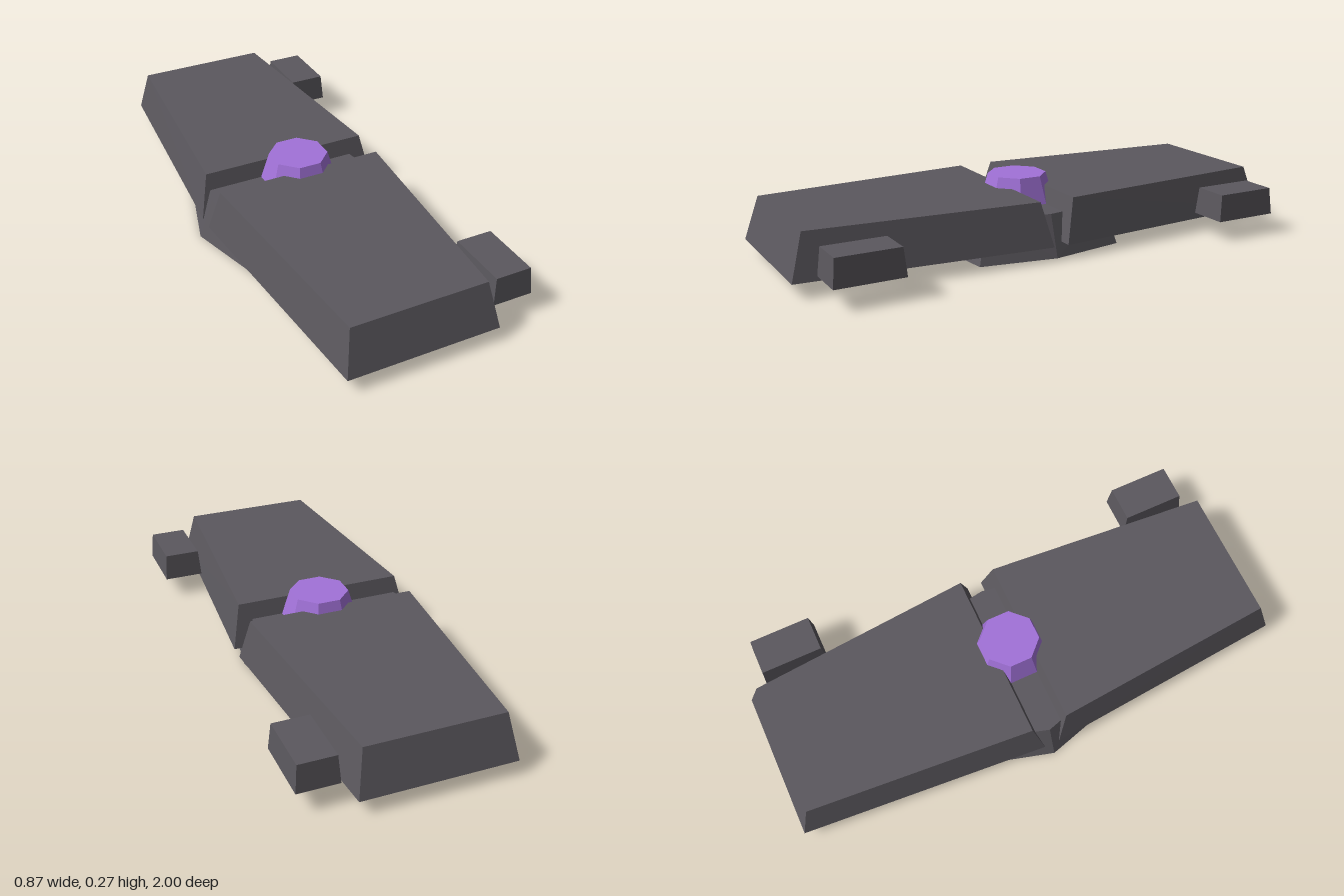
import * as THREE from 'three';
import { ConvexGeometry } from 'three/addons/geometries/ConvexGeometry.js';

// Tapered solid between two horizontal outlines given as [x, z] corners
function taperedSolid(name, material, bottom, y0, top, y1) {
  const points = [
    ...bottom.map(([x, z]) => new THREE.Vector3(x, y0, z)),
    ...top.map(([x, z]) => new THREE.Vector3(x, y1, z)),
  ];
  const mesh = new THREE.Mesh(new ConvexGeometry(points), material);
  mesh.name = name;
  return mesh;
}

const rectangle = (x0, x1, z0, z1) => [[x0, z0], [x1, z0], [x1, z1], [x0, z1]];

export function createModel() {
  const grey = new THREE.MeshStandardMaterial({ color: 0x5b585e, flatShading: true });
  grey.name = 'dark grey';
  const purple = new THREE.MeshStandardMaterial({ color: 0xa272d9, flatShading: true });
  purple.name = 'purple';

  const model = new THREE.Group();
  model.name = 'model';

  // Six-sided base under the joint
  model.add(taperedSolid('base', grey,
    [[-0.435, 0], [-0.33, 0.37], [0.25, 0.30], [0.30, 0], [0.25, -0.30], [-0.33, -0.37]], 0,
    [[-0.38, 0], [-0.286, 0.32], [0.21, 0.255], [0.25, 0], [0.21, -0.255], [-0.286, -0.32]], 0.16));

  // Mirrored front and back halves
  for (const [side, s] of [['front', 1], ['back', -1]]) {
    model.add(taperedSolid(side + 'Slab', grey,
      [[-0.41, 0.03 * s], [0.328, 0.03 * s], [0.25, s], [-0.33, s]], 0.055,
      [[-0.372, 0.07 * s], [0.292, 0.07 * s], [0.22, 0.95 * s], [-0.30, 0.95 * s]], 0.225));

    // Small block on the left edge
    model.add(taperedSolid(side + 'Block', grey,
      rectangle(0.277, 0.433, 0.66 * s, 0.92 * s), 0.08,
      rectangle(0.285, 0.425, 0.67 * s, 0.91 * s), 0.185));
  }

  // Eight-sided gem in the middle, flat sides facing the axes
  const c = Math.cos(Math.PI / 8);
  const gemGeometry = new THREE.CylinderGeometry(0.105 / c, 0.137 / c, 0.115, 8);
  gemGeometry.rotateY(Math.PI / 8);
  const gem = new THREE.Mesh(gemGeometry, purple);
  gem.name = 'gem';
  gem.position.set(-0.015, 0.2075, 0);
  model.add(gem);

  return model;
}
